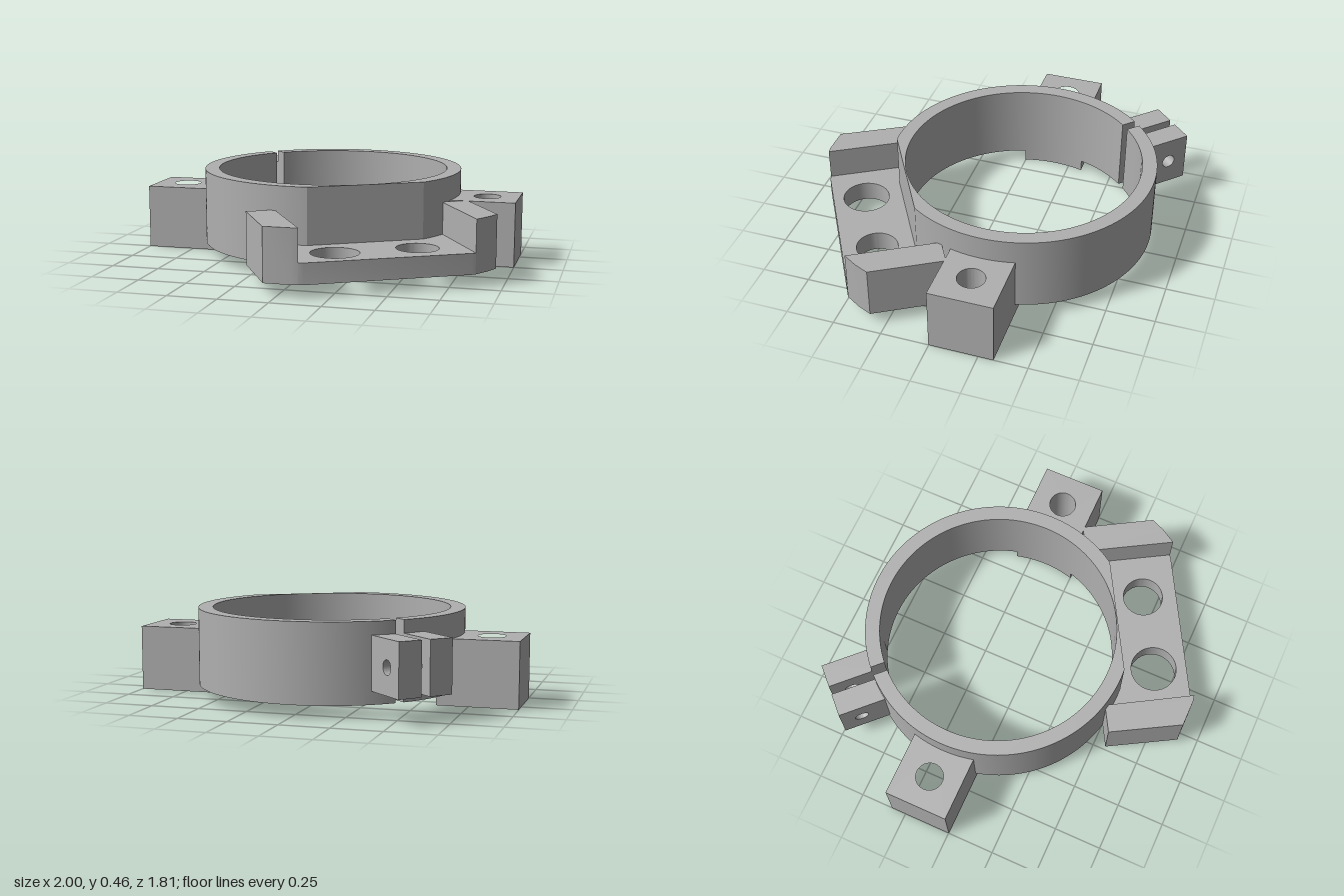
import * as THREE from 'three';
import { toCreasedNormals } from 'three/addons/utils/BufferGeometryUtils.js';

const CZ = -0.163;            // ring centre along z
const R_OUT = 0.685, R_IN = 0.61;
const BASE = 0.065;           // underside of ring and mount
const SLOT = 0.0225;          // half width of the clamp slot

export function createModel() {
  const model = new THREE.Group();
  const grey = new THREE.MeshStandardMaterial({ color: 0xb0b0b0 });
  grey.name = 'plain grey';

  const add = (name, geometry) => {
    const mesh = new THREE.Mesh(toCreasedNormals(geometry, 0.45), grey);
    mesh.name = name;
    model.add(mesh);
    return mesh;
  };

  const extrude = (shape, depth, curveSegments = 64) =>
    new THREE.ExtrudeGeometry(shape, { depth, bevelEnabled: false, curveSegments });

  // Plan shapes are drawn with y = -z and raised from y0 to y1
  const raise = (shape, y0, y1, segments) =>
    extrude(shape, y1 - y0, segments).rotateX(-Math.PI / 2).translate(0, y0, 0);

  const plan = (points) => new THREE.Shape(points.map(([x, z]) => new THREE.Vector2(x, -z)));

  const drill = (shape, x, y, r) => {
    const hole = new THREE.Path();
    hole.absarc(x, y, r, 0, Math.PI * 2, true);
    shape.holes.push(hole);
  };

  // Split ring with a flat facing the mount
  const slotAngle = Math.PI * 0.75, flatAngle = -Math.PI / 3;
  const flatHalf = Math.acos(0.616 / R_OUT);
  const gOut = Math.asin(SLOT / R_OUT), gIn = Math.asin(SLOT / R_IN);
  const ring = new THREE.Shape();
  ring.absarc(0, -CZ, R_OUT, slotAngle - gOut, flatAngle + flatHalf, true);
  ring.absarc(0, -CZ, R_OUT, flatAngle - flatHalf, slotAngle - 2 * Math.PI + gOut, true);
  ring.absarc(0, -CZ, R_IN, slotAngle - 2 * Math.PI + gIn, slotAngle - gIn, false);
  add('splitRing', raise(ring, BASE, 0.46));

  // Side ears with vertical bolt holes, cut to the bore on the inside
  for (const side of [1, -1]) {
    const ear = new THREE.Shape();
    const a = Math.asin(0.165 / 0.612);
    const mid = side > 0 ? 0 : Math.PI;
    ear.moveTo(side, -CZ - 0.165);
    ear.lineTo(side, -CZ + 0.165);
    ear.absarc(0, -CZ, 0.612, mid + side * a, mid - side * a, side > 0);
    ear.closePath();
    drill(ear, side * 0.835, -CZ, 0.07);
    add(side > 0 ? 'leftEar' : 'rightEar', raise(ear, 0, 0.335, 32));
  }

  // Mounting plate with two large holes
  const plate = plan([
    [-0.118, 0.508], [0.112, 0.894], [0.135, 0.888], [0.855, 0.482], [0.872, 0.47],
    [0.642, 0.08], [0.565, 0.222], [0.047, 0.518],
  ]);
  drill(plate, 0.22, -0.64, 0.12);
  drill(plate, 0.58, -0.43, 0.106);
  add('mountPlate', raise(plate, BASE, 0.17, 32));

  // Raised walls at both ends of the plate
  add('mountWallRight', raise(plan([
    [-0.251, 0.567], [-0.059, 0.9], [0.08, 0.9], [0.112, 0.894], [-0.118, 0.508], [-0.145, 0.506],
  ]), BASE, 0.335));
  add('mountWallLeft', raise(plan([
    [0.642, 0.08], [0.872, 0.47], [0.918, 0.395], [0.95, 0.322], [0.754, -0.008], [0.65, 0.052],
  ]), BASE, 0.335));

  // Clamp tabs on either side of the slot, with a cross hole
  const tab = new THREE.Shape();
  tab.moveTo(0.65, 0.13);
  tab.lineTo(0.917, 0.13);
  tab.lineTo(0.917, 0.395);
  tab.lineTo(0.65, 0.395);
  tab.closePath();
  drill(tab, 0.81, 0.2625, 0.036);
  const tabWidth = 0.121;
  [SLOT, -SLOT - tabWidth].forEach((offset, i) => {
    const g = extrude(tab, tabWidth, 24).translate(0, 0, offset);
    add(i ? 'clampTabBack' : 'clampTabFront', g.rotateY(slotAngle).translate(0, 0, CZ));
  });

  return model;
}
